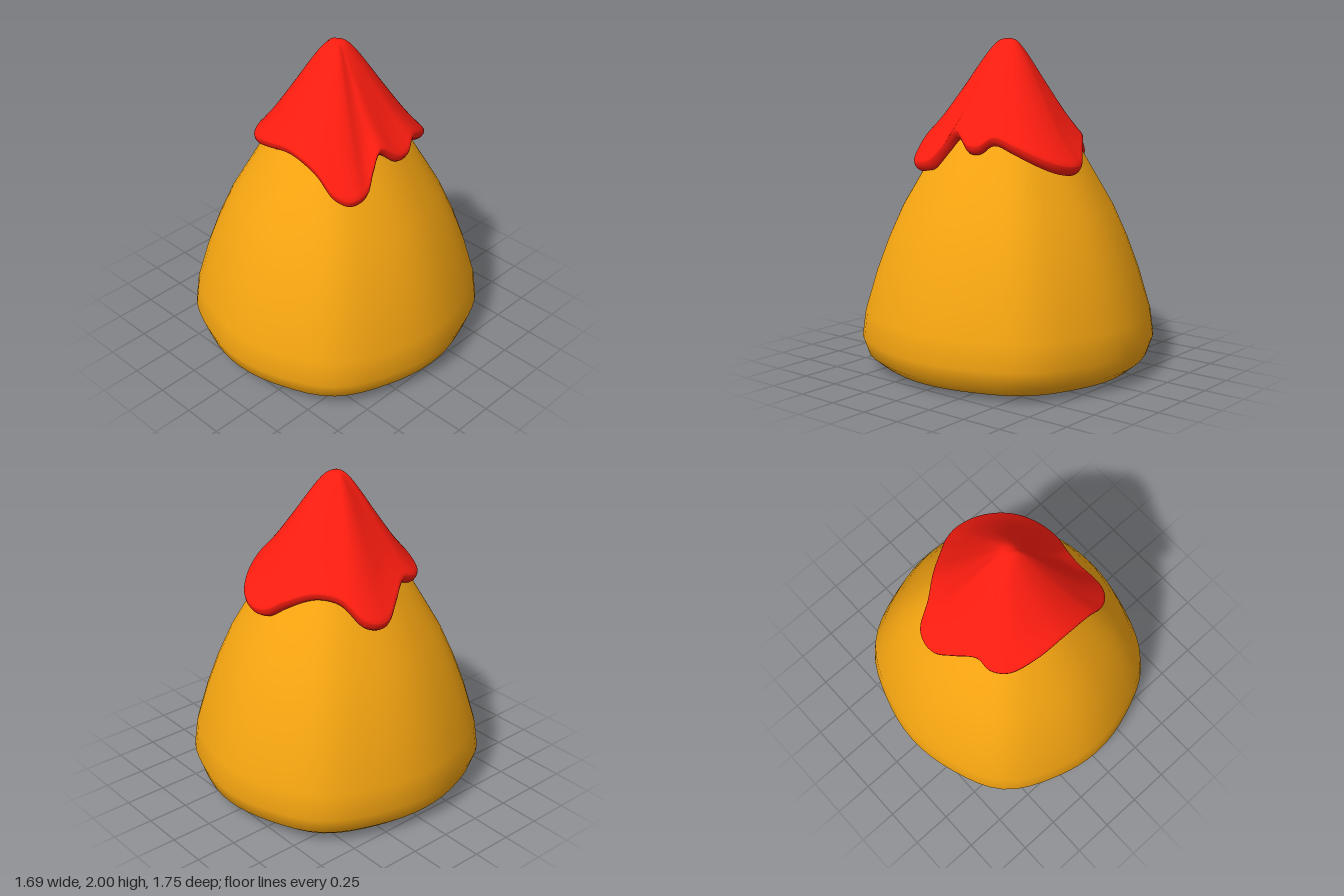
import * as THREE from 'three';

// Smooth skin over closed rings of points, listed from top to bottom
function loft(name, rings, color) {
  const n = rings[0].length, index = [];
  for (let i = 0; i < rings.length - 1; i++) {
    for (let j = 0; j < n; j++) {
      const k = (j + 1) % n, a = i * n + j, b = i * n + k, c = a + n, d = b + n;
      index.push(a, b, c, b, d, c);
    }
  }
  const geometry = new THREE.BufferGeometry().setFromPoints(rings.flat());
  geometry.setIndex(index);
  geometry.computeVertexNormals();
  const mesh = new THREE.Mesh(geometry, new THREE.MeshStandardMaterial({ color }));
  mesh.name = name;
  return mesh;
}

// Body: soft four-cornered cone, [half width, height]
function createBody() {
  const profile = [
    [0, 1.84], [0.1, 1.8], [0.2, 1.68], [0.29, 1.54], [0.38, 1.4], [0.49, 1.2],
    [0.6, 1], [0.685, 0.8], [0.755, 0.6], [0.825, 0.35], [0.845, 0.19],
    [0.81, 0.085], [0.745, 0.03], [0.65, 0.008], [0.55, 0], [0, 0],
  ];
  const sides = 64;
  const rings = profile.map(([r, y]) => Array.from({ length: sides }, (_, j) => {
    const a = (j / sides) * Math.PI * 2;
    const k = r * (1 + 0.045 * Math.abs(Math.sin(2 * a)) ** 6);
    return new THREE.Vector3(Math.cos(a) * k, y, Math.sin(a) * k * 1.035);
  }));
  return loft('body', rings, 0xf7a611);
}

// Cap: five drips; each rim point is [x, lower edge height, z]
function createCap() {
  const rim = new THREE.CatmullRomCurve3([
    [0.08, 1.22, -0.56], [0.2, 1.24, -0.53], [0.3, 1.29, -0.45], [0.37, 1.35, -0.34],
    [0.41, 1.395, -0.22], [0.45, 1.345, -0.14], [0.455, 1.345, -0.06], [0.415, 1.42, 0.06],
    [0.435, 1.33, 0.14], [0.47, 1.24, 0.22], [0.475, 1.22, 0.3], [0.45, 1.22, 0.36],
    [0.38, 1.26, 0.41], [0.25, 1.37, 0.425], [0.05, 1.43, 0.435], [-0.15, 1.39, 0.42],
    [-0.32, 1.34, 0.365], [-0.39, 1.34, 0.28], [-0.4, 1.36, 0.18], [-0.47, 1.28, 0.06],
    [-0.53, 1.205, -0.05], [-0.535, 1.2, -0.13], [-0.5, 1.23, -0.21], [-0.37, 1.34, -0.28],
    [-0.25, 1.36, -0.375], [-0.1, 1.29, -0.48], [-0.01, 1.23, -0.54],
  ].map((p) => new THREE.Vector3(...p)), true);
  const count = 135;
  const edge = Array.from({ length: count }, (_, j) => rim.getPoint(j / count));

  // Slope from the tip to the widest point: [share of radius, share of drop]
  const slope = new THREE.SplineCurve([
    [0, 0], [0.1, 0.02], [0.2, 0.1], [0.33, 0.245], [0.5, 0.45], [0.75, 0.74],
    [0.91, 0.9], [0.98, 0.965], [1, 1],
  ].map((p) => new THREE.Vector2(...p)));
  const rings = [];
  for (let i = 0; i <= 28; i++) {
    const s = slope.getPoint(i / 28);
    rings.push(edge.map((p) => new THREE.Vector3(
      p.x * s.x, 2 - (2 - p.y - 0.05) * s.y, p.z * s.x)));
  }
  // Rounded lip curling back into the body: [inset, lift above lower edge]
  for (const [inset, lift] of [
    [0.004, 0.03], [0.016, 0.012], [0.035, 0], [0.06, 0.003], [0.085, 0.02], [0.12, 0.06],
  ]) {
    rings.push(edge.map((p) => {
      const k = 1 - inset / Math.hypot(p.x, p.z);
      return new THREE.Vector3(p.x * k, p.y + lift, p.z * k);
    }));
  }
  return loft('drippingCap', rings, 0xff1d10);
}

export function createModel() {
  const model = new THREE.Group();
  model.name = 'cappedCone';
  model.add(createBody(), createCap());
  return model;
}
